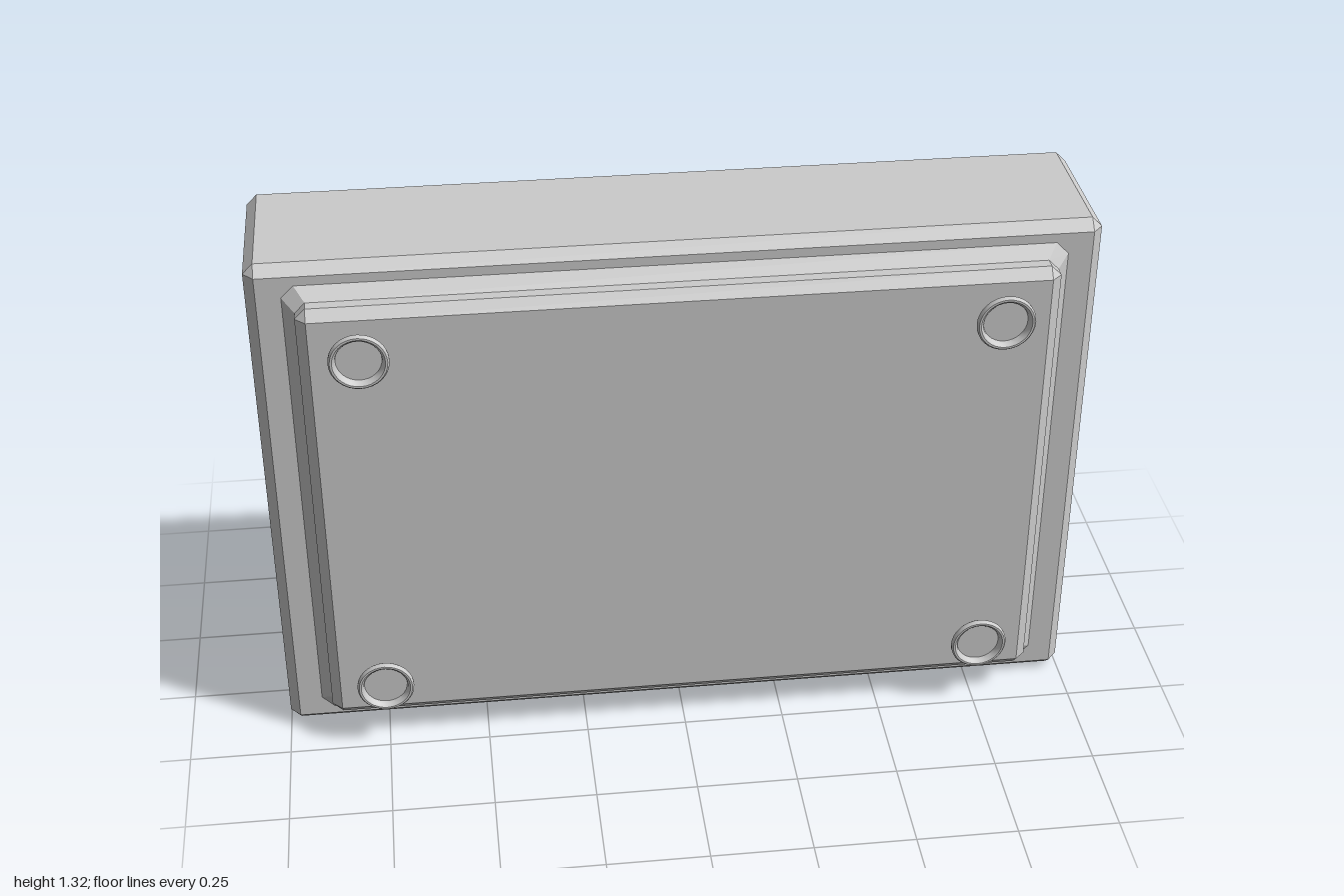
import * as THREE from 'three';
import { toCreasedNormals } from 'three/addons/utils/BufferGeometryUtils.js';

const MID_Y = 0.66;
const grey = new THREE.MeshStandardMaterial({ color: 0xcccccc });
const greyFlat = new THREE.MeshStandardMaterial({ color: 0xcccccc, flatShading: true });

// Rectangle with cut corners, counter-clockwise seen from +z
function cutRectangle({ z, w, h, cut }) {
  return [
    [w, -h + cut], [w, h - cut], [w - cut, h], [-w + cut, h],
    [-w, h - cut], [-w, -h + cut], [-w + cut, -h], [w - cut, -h],
  ].map(([x, y]) => new THREE.Vector3(x, y, z));
}

// Skin a row of cut rectangles from back to front and cap both ends
function loft(sections) {
  const rings = sections.map(cutRectangle);
  const positions = [];
  const triangle = (a, b, c) => {
    if (new THREE.Triangle(a, b, c).getArea() < 1e-7) return;
    for (const p of [a, b, c]) positions.push(p.x, p.y, p.z);
  };
  for (let r = 0; r < rings.length - 1; r++) {
    for (let i = 0; i < 8; i++) {
      const j = (i + 1) % 8;
      const [a, b, c, d] = [rings[r][i], rings[r][j], rings[r + 1][j], rings[r + 1][i]];
      triangle(a, b, c);
      triangle(a, c, d);
    }
  }
  const back = rings[0];
  const front = rings[rings.length - 1];
  for (let i = 1; i < 7; i++) {
    triangle(back[0], back[i + 1], back[i]);
    triangle(front[0], front[i], front[i + 1]);
  }
  const geometry = new THREE.BufferGeometry();
  geometry.setAttribute('position', new THREE.Float32BufferAttribute(positions, 3));
  geometry.computeVertexNormals();
  return geometry;
}

function addMesh(parent, name, geometry, material) {
  const mesh = new THREE.Mesh(geometry, material);
  mesh.name = name;
  parent.add(mesh);
  return mesh;
}

export function createModel() {
  const model = new THREE.Group();
  model.name = 'case';

  // Main box, bevelled on every edge
  addMesh(model, 'body', loft([
    { z: -0.26, w: 0.975, h: 0.635, cut: 0 },
    { z: -0.234, w: 1, h: 0.66, cut: 0.025 },
    { z: 0.11, w: 1, h: 0.66, cut: 0.025 },
    { z: 0.137, w: 0.975, h: 0.635, cut: 0 },
  ]), greyFlat).position.y = MID_Y;

  // Raised cover with a sloped foot and a bevelled front edge
  addMesh(model, 'frontPanel', loft([
    { z: 0.13, w: 0.917, h: 0.612, cut: 0.03 },
    { z: 0.137, w: 0.917, h: 0.612, cut: 0.03 },
    { z: 0.167, w: 0.888, h: 0.583, cut: 0.025 },
    { z: 0.195, w: 0.888, h: 0.583, cut: 0.025 },
    { z: 0.218, w: 0.863, h: 0.558, cut: 0 },
  ]), greyFlat).position.y = MID_Y;

  // Four flared feet, each with a dished end
  const profile = [
    [0, 0], [0.042, 0], [0.066, 0.025], [0.07, 0.031], [0.07, 0.037],
    [0.066, 0.042], [0.061, 0.042], [0.055, 0.036], [0.053, 0.026], [0, 0.026],
  ].map(([r, y]) => new THREE.Vector2(r, y));
  const footGeometry = toCreasedNormals(new THREE.LatheGeometry(profile, 32), 0.7);
  footGeometry.rotateX(Math.PI / 2);
  for (const [sx, side] of [[1, 'Left'], [-1, 'Right']]) {
    for (const [sy, level] of [[1, 'upper'], [-1, 'lower']]) {
      const foot = addMesh(model, `${level}${side}Foot`, footGeometry, grey);
      foot.position.set(sx * 0.75, MID_Y + sy * 0.47, 0.218);
    }
  }

  return model;
}
